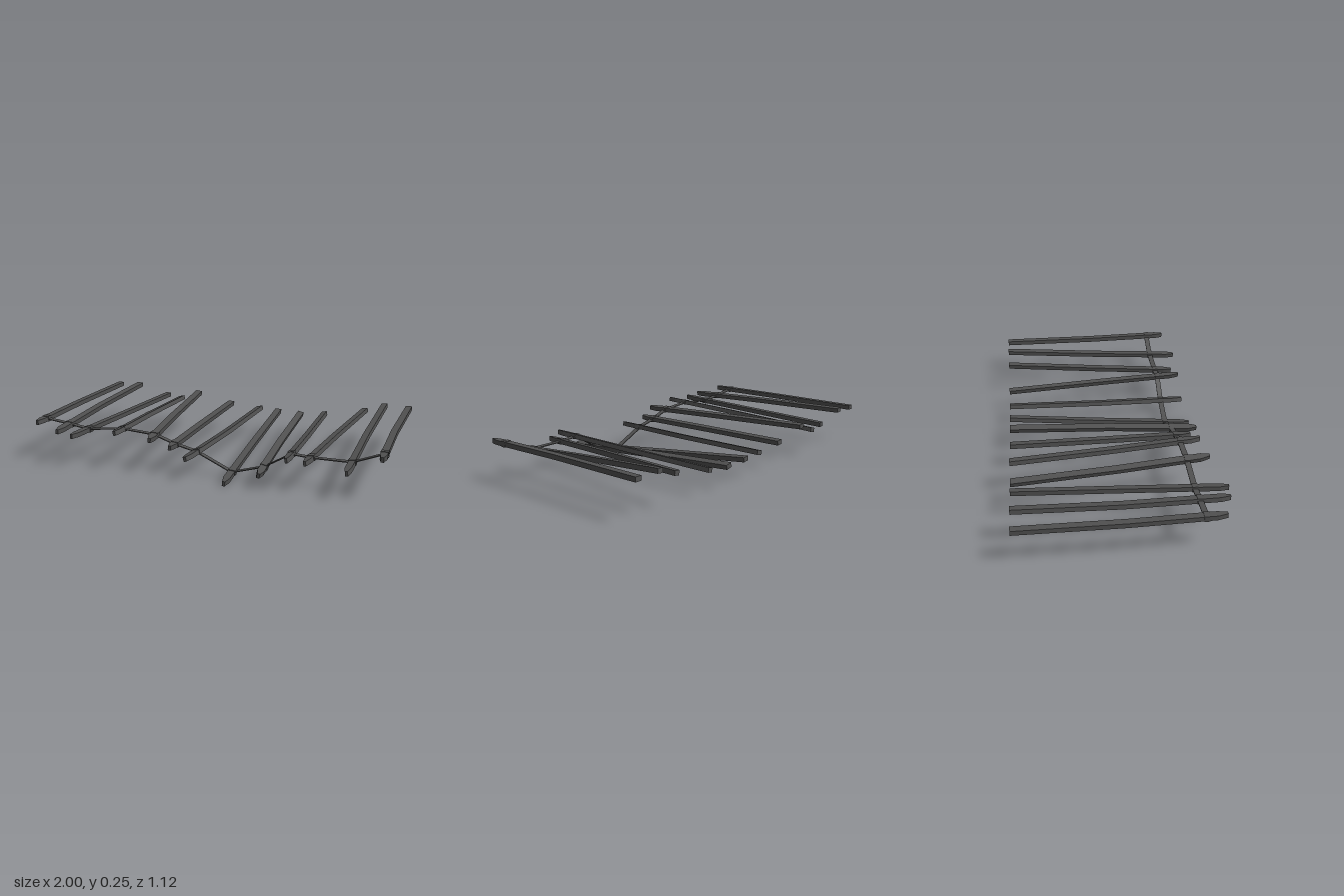
import * as THREE from 'three';

const wood = new THREE.MeshStandardMaterial({ color: 0x505050, flatShading: true });
wood.name = 'dark grey wood';

const BACK = -0.56, RAIL_Z = 0.385;

// [back x, middle x, front x, back y, front y, front z, width, roll]
const PICKETS = [
  [-0.978, -0.982, -0.97, 0.228, 0.228, 0.49, 0.037, 0],
  [-0.833, -0.833, -0.808, 0.235, 0.205, 0.545, 0.038, -0.1],
  [-0.622, -0.665, -0.71, 0.182, 0.192, 0.56, 0.032, -0.05],
  [-0.523, -0.503, -0.47, 0.167, 0.22, 0.51, 0.038, 0.25],
  [-0.4, -0.335, -0.265, 0.212, 0.198, 0.5, 0.04, -0.1],
  [-0.17, -0.167, -0.16, 0.162, 0.158, 0.47, 0.038, -0.1],
  [0.027, 0.0, -0.045, 0.145, 0.126, 0.53, 0.04, 0.25],
  [0.152, 0.16, 0.175, 0.137, 0.018, 0.535, 0.038, -0.1],
  [0.3, 0.325, 0.36, 0.132, 0.08, 0.52, 0.038, -0.25],
  [0.457, 0.485, 0.505, 0.147, 0.178, 0.52, 0.031, 0.2],
  [0.712, 0.645, 0.595, 0.193, 0.163, 0.49, 0.033, 0.12],
  [0.83, 0.818, 0.82, 0.232, 0.155, 0.545, 0.035, 0.1],
  [0.977, 0.97, 0.982, 0.228, 0.228, 0.49, 0.037, 0],
];

// Centre of a picket at a given depth; it bends slightly at z = 0
function centre([xb, xm, xf, yb, yf, zf], z) {
  const x = z < 0 ? xb + (xm - xb) * (z - BACK) / -BACK : xm + (xf - xm) * z / zf;
  return new THREE.Vector3(x, yb + (yf - yb) * (z - BACK) / (zf - BACK), z);
}

// Bent board with a tapered tip
function picket(p) {
  const [, , , , , zf, width, roll] = p;
  const geo = new THREE.BoxGeometry(width, 0.026, 1, 1, 1, 3);
  const stations = [BACK, 0, zf - 0.05, zf];
  const pos = geo.attributes.position;
  for (let i = 0; i < pos.count; i++) {
    const k = Math.round((pos.getZ(i) + 0.5) * 3);
    const v = new THREE.Vector3(pos.getX(i) * (k === 3 ? 0.4 : 1), pos.getY(i), 0);
    v.applyAxisAngle(new THREE.Vector3(0, 0, 1), roll).add(centre(p, stations[k]));
    pos.setXYZ(i, v.x, v.y, v.z);
  }
  geo.computeVertexNormals();
  return new THREE.Mesh(geo, wood);
}

export function createModel() {
  const model = new THREE.Group();
  model.name = 'collapsedFence';

  PICKETS.forEach((p, i) => {
    const board = picket(p);
    board.name = 'picket' + (i + 1);
    model.add(board);

    // Band wrapping the picket where the rail crosses
    const c = centre(p, RAIL_Z);
    const band = new THREE.Mesh(new THREE.BoxGeometry(p[6] + 0.004, 0.031, 0.03), wood);
    band.name = 'band' + (i + 1);
    band.position.copy(c);
    band.rotation.z = p[7];
    model.add(band);

    // Thin strap to the next picket
    if (i < PICKETS.length - 1) {
      const d = centre(PICKETS[i + 1], RAIL_Z);
      const strap = new THREE.Mesh(new THREE.BoxGeometry(c.distanceTo(d), 0.005, 0.03), wood);
      strap.name = 'strap' + (i + 1);
      strap.position.copy(c).add(d).multiplyScalar(0.5);
      strap.rotation.z = Math.atan2(d.y - c.y, d.x - c.x);
      model.add(strap);
    }
  });
  return model;
}
